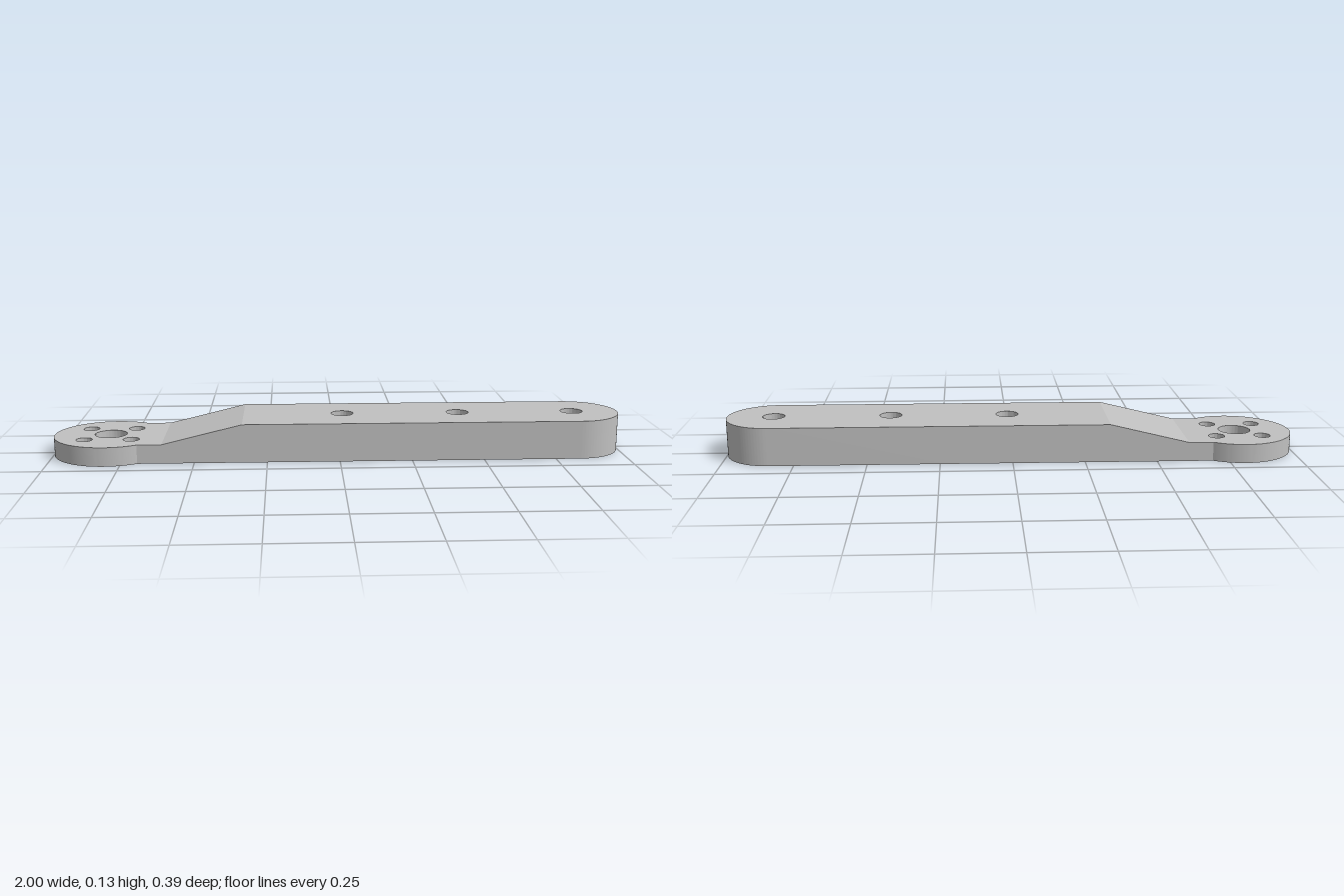
import * as THREE from 'three';
import { toCreasedNormals } from 'three/addons/utils/BufferGeometryUtils.js';

const HEAD_X = -0.803, HEAD_R = 0.197;   // round mounting head
const HALF_W = 0.164, CAP_X = 1 - HALF_W; // bar half-width and rounded end
const RAMP_START = -0.61, RAMP_END = -0.335;
const LOW = 0.066, HIGH = 0.133;

// top surface height along the arm
const topHeight = (x) => THREE.MathUtils.mapLinear(
  THREE.MathUtils.clamp(x, RAMP_START, RAMP_END), RAMP_START, RAMP_END, LOW, HIGH);

function addHole(shape, x, y, r) {
  const hole = new THREE.Path();
  hole.absarc(x, y, r, 0, Math.PI * 2, true);
  shape.holes.push(hole);
}

// extrude a plan outline up to the top surface, leaving out the walls at the seams
function slab(shape, seams) {
  const geo = new THREE.ExtrudeGeometry(shape, { depth: 1, bevelEnabled: false, curveSegments: 48 });
  geo.rotateX(-Math.PI / 2);
  const p = geo.attributes.position;
  const kept = [];
  for (let i = 0; i < p.count; i += 3) {
    const ids = [i, i + 1, i + 2];
    if (seams.some((s) => ids.every((k) => Math.abs(p.getX(k) - s) < 1e-5))) continue;
    for (const k of ids) {
      const x = p.getX(k);
      kept.push(x, p.getY(k) > 0.5 ? topHeight(x) : 0, p.getZ(k));
    }
  }
  const out = new THREE.BufferGeometry();
  out.setAttribute('position', new THREE.Float32BufferAttribute(kept, 3));
  return toCreasedNormals(out, 0.5);
}

export function createModel() {
  const group = new THREE.Group();
  group.name = 'leverArm';
  const metal = new THREE.MeshStandardMaterial({ color: 0xc0c0c0 });
  metal.name = 'greyMetal';
  const add = (name, shape, seams) => {
    const mesh = new THREE.Mesh(slab(shape, seams), metal);
    mesh.name = name;
    group.add(mesh);
  };

  // thin round head with a centre bore and four screw holes
  const head = new THREE.Shape();
  const a = Math.asin(HALF_W / HEAD_R);
  head.moveTo(RAMP_START, -HALF_W);
  head.lineTo(RAMP_START, HALF_W);
  head.absarc(HEAD_X, 0, HEAD_R, a, Math.PI * 2 - a, false);
  addHole(head, HEAD_X, 0, 0.056);
  for (const sx of [-1, 1]) for (const sy of [-1, 1]) {
    addHole(head, HEAD_X + sx * 0.081, sy * 0.081, 0.028);
  }
  add('mountingHead', head, [RAMP_START]);

  // sloping transition
  const ramp = new THREE.Shape();
  ramp.moveTo(RAMP_START, -HALF_W);
  ramp.lineTo(RAMP_END, -HALF_W);
  ramp.lineTo(RAMP_END, HALF_W);
  ramp.lineTo(RAMP_START, HALF_W);
  add('ramp', ramp, [RAMP_START, RAMP_END]);

  // thick bar with a rounded end and three holes
  const bar = new THREE.Shape();
  bar.moveTo(RAMP_END, HALF_W);
  bar.lineTo(RAMP_END, -HALF_W);
  bar.absarc(CAP_X, 0, HALF_W, -Math.PI / 2, Math.PI / 2, false);
  for (const x of [0.014, 0.425, 0.836]) addHole(bar, x, 0, 0.039);
  add('bar', bar, [RAMP_END]);

  return group;
}
